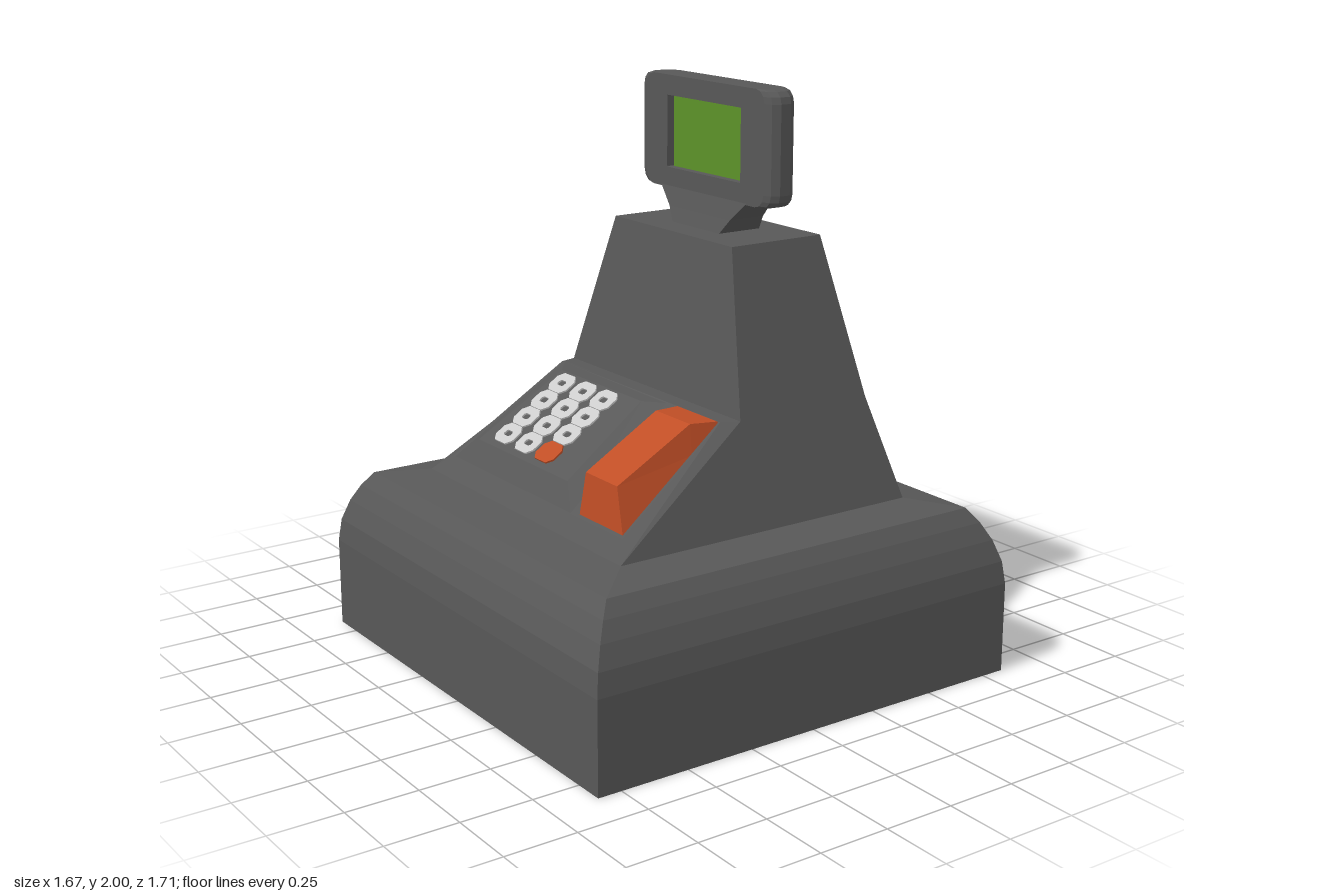
import * as THREE from 'three';

const mat = (name, color) => {
  const m = new THREE.MeshStandardMaterial({ color });
  m.name = name;
  return m;
};

// Faceted skin over matching rings of points, closed at both ends on request
function loft(rings, capStart = true, capEnd = true) {
  const pos = [];
  const tri = (a, b, c) => pos.push(...a, ...b, ...c);
  const n = rings[0].length;
  for (let k = 0; k < rings.length - 1; k++) {
    const a = rings[k], b = rings[k + 1];
    for (let i = 0; i < n; i++) {
      const j = (i + 1) % n;
      tri(a[i], a[j], b[j]);
      tri(a[i], b[j], b[i]);
    }
  }
  const first = rings[0], last = rings[rings.length - 1];
  for (let i = 1; i < n - 1; i++) {
    if (capStart) tri(first[0], first[i + 1], first[i]);
    if (capEnd) tri(last[0], last[i], last[i + 1]);
  }
  const g = new THREE.BufferGeometry();
  g.setAttribute('position', new THREE.Float32BufferAttribute(pos, 3));
  g.computeVertexNormals();
  return g;
}

// Horizontal rectangle ring
const rect = (y, x0, x1, hz) => [[x0, y, hz], [x1, y, hz], [x1, y, -hz], [x0, y, -hz]];

// Rounded rectangle ring standing in the y-z plane
function roundedRing(x, cy, hy, hz, r) {
  const pts = [];
  for (let c = 0; c < 4; c++) {
    const sy = c === 0 || c === 3 ? 1 : -1, sz = c < 2 ? 1 : -1;
    for (let s = 0; s < 4; s++) {
      const a = (c + s / 3) * Math.PI / 2;
      pts.push([x, cy + sy * (hy - r) + r * Math.cos(a), sz * (hz - r) + r * Math.sin(a)]);
    }
  }
  return pts;
}

// Flat rounded key, with an optional slot through it
function keyGeometry(w, d, slot) {
  const oval = (path, hw, hd, c) => {
    path.moveTo(-hw + c, -hd);
    for (const [x, y] of [[hw - c, -hd], [hw, -hd + c], [hw, hd - c], [hw - c, hd],
      [-hw + c, hd], [-hw, hd - c], [-hw, -hd + c]]) path.lineTo(x, y);
    path.closePath();
    return path;
  };
  const shape = oval(new THREE.Shape(), w / 2, d / 2, 0.022);
  if (slot) shape.holes.push(oval(new THREE.Path(), 0.012, 0.02, 0.006));
  return new THREE.ExtrudeGeometry(shape, { depth: 0.006, bevelEnabled: false }).rotateX(-Math.PI / 2);
}

export function createModel() {
  const root = new THREE.Group();
  root.name = 'cashRegister';
  const grey = mat('dark grey casing', 0x585858);
  const orange = mat('orange', 0xc04e26);
  const green = mat('green screen', 0x5c9229);
  const light = mat('light grey keys', 0xcccccc);
  const add = (name, geo, material, parent = root) => {
    const m = new THREE.Mesh(geo, material);
    m.name = name;
    parent.add(m);
    return m;
  };

  // Base with rounded shoulders
  const shoulder = [[0, 0], [0, 0.32], [0.01, 0.4], [0.035, 0.475], [0.066, 0.535], [0.102, 0.585]];
  const baseRings = shoulder.map(([d, y]) => rect(y, -0.835 + d, 0.835 - d, 0.857 - d));
  baseRings.push(rect(0.61, -0.58, 0.58, 0.605));
  add('base', loft(baseRings), grey);

  // Tapered body with a sloping console side
  add('body', loft([
    rect(0.61, -0.58, 0.58, 0.605),
    rect(0.96, -0.04, 0.49, 0.5),
    rect(1.5, 0.04, 0.41, 0.34),
  ]), grey);

  // Slightly raised frame on the slope
  const frameY = (x) => 0.665 + (x + 0.525) * 0.694;
  const slopeRing = (pts, f) => pts.map(([x, z]) => [x, f(x), z]);
  add('consoleFrame', loft([
    slopeRing([[-0.58, 0.605], [-0.04, 0.5], [-0.04, -0.5], [-0.58, -0.605]],
      (x) => 0.61 + (x + 0.58) * 0.648),
    slopeRing([[-0.525, 0.53], [-0.1, 0.47], [-0.1, -0.485], [-0.525, -0.545]], frameY),
  ], false), grey);

  // Keypad block
  const padSlope = 0.656;
  const padY = (x) => 0.745 + (x + 0.475) * padSlope;
  add('keypad', loft([
    slopeRing([[-0.53, 0.24], [-0.095, 0.185], [-0.09, -0.48], [-0.53, -0.54]], (x) => frameY(x) - 0.006),
    slopeRing([[-0.478, 0.14], [-0.155, 0.1], [-0.155, -0.4], [-0.478, -0.44]], padY),
  ], false), grey);

  // Keys: three rows of four, one of them orange
  const keys = new THREE.Group();
  keys.name = 'keys';
  root.add(keys);
  const plainKey = keyGeometry(0.086, 0.11, true), payKey = keyGeometry(0.086, 0.11, false);
  [-0.325, -0.19, -0.06].forEach((z, row) => {
    for (let i = 0; i < 4; i++) {
      const x = -0.2 - i * 0.074;
      const special = row === 2 && i === 3;
      const key = add(special ? 'orangeKey' : 'key', special ? payKey : plainKey, special ? orange : light, keys);
      key.position.set(x, padY(x), z);
      key.rotation.z = Math.atan(padSlope);
    }
  });

  // Orange wedge beside the keypad
  const wedge = (xb, yb, zb0, zb1, xt, yt, zt0, zt1) =>
    [[xt, yt, zt0], [xt, yt, zt1], [xb, yb, zb1], [xb, yb, zb0]];
  add('receiptCover', loft([
    wedge(-0.515, 0.67, 0.27, 0.52, -0.505, 0.82, 0.295, 0.475),
    wedge(-0.22, 0.872, 0.24, 0.48, -0.21, 0.97, 0.265, 0.457),
    wedge(-0.1, 0.95, 0.23, 0.465, -0.105, 0.962, 0.24, 0.462),
  ]), orange);

  // Neck under the display
  const cx = 0.225;
  add('displayNeck', loft([[1.5, 0.085, 0.135], [1.55, 0.07, 0.175], [1.615, 0.055, 0.245]]
    .map(([y, hx, hz]) => rect(y, cx - hx, cx + hx, hz))), grey);

  // Display with a sunken window on the console side
  const cy = 1.805, sy = 1.805;
  const outline = (x, hz) => roundedRing(x, cy, 0.195, hz, 0.045);
  const opening = (x) => roundedRing(x, sy, 0.125, 0.21, 0.003);
  add('display', loft([
    opening(0.2), opening(0.17),
    outline(0.17, 0.335), outline(0.18, 0.363), outline(0.205, 0.38),
    outline(0.245, 0.38), outline(0.27, 0.363), outline(0.28, 0.335),
  ], false), grey);
  const screen = add('screen', new THREE.BoxGeometry(0.006, 0.25, 0.42), green);
  screen.position.set(0.201, sy, 0);

  return root;
}
